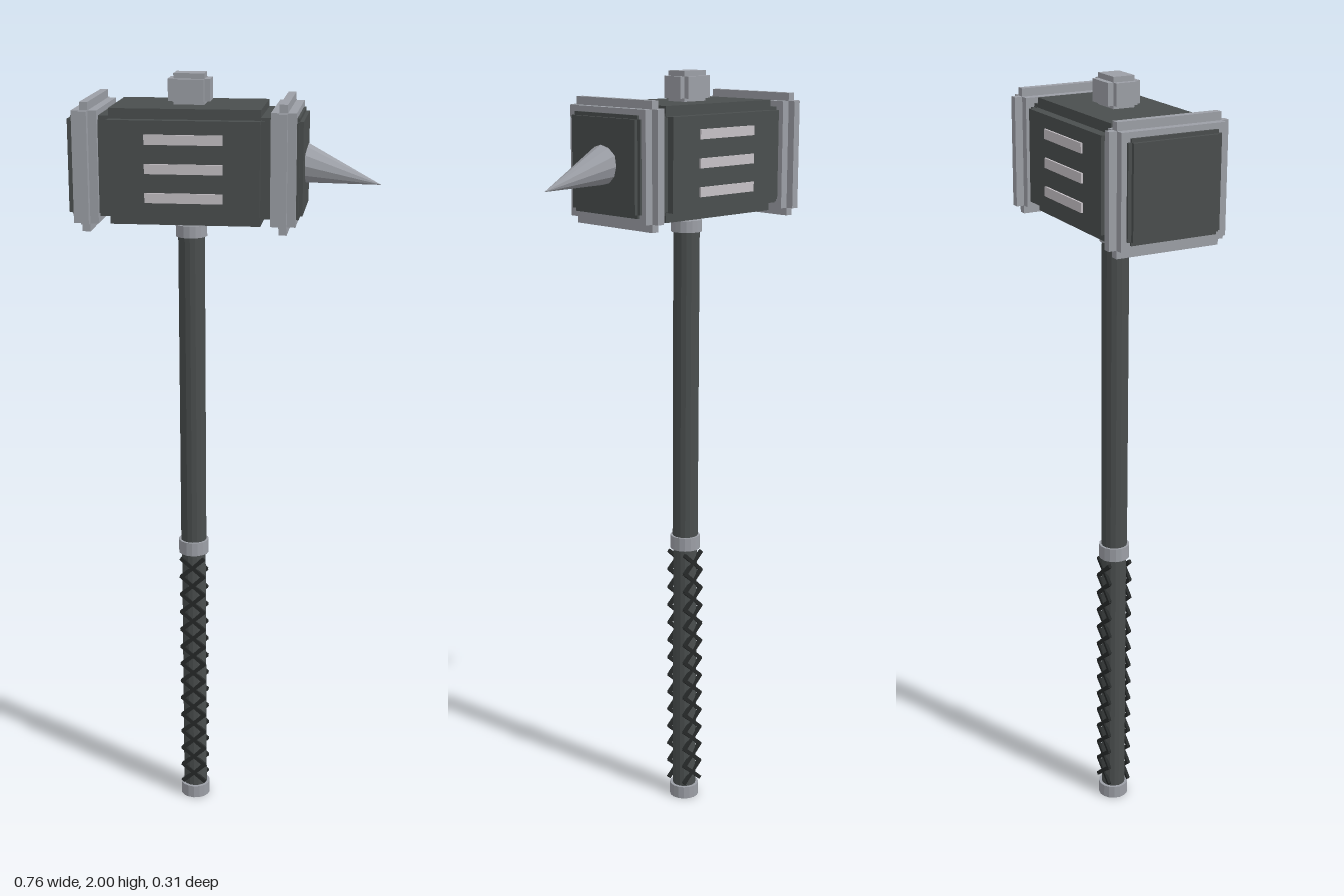
import * as THREE from 'three';

const AXIS_X = -0.095; // shaft line
const HEAD_Y = 1.785; // head centre height

export function createModel() {
  const model = new THREE.Group();
  model.name = 'warHammer';

  const mat = (name, color) => {
    const m = new THREE.MeshStandardMaterial({ color, flatShading: true });
    m.name = name;
    return m;
  };
  const iron = mat('dark iron', 0x4a4e4e);
  const steel = mat('steel', 0x9c9fa6);
  const inlay = mat('pale inlay', 0xc6c1c6);
  const leather = mat('black leather', 0x262929);

  const add = (parent, name, geometry, material, x = 0, y = 0, z = 0) => {
    const mesh = new THREE.Mesh(geometry, material);
    mesh.name = name;
    mesh.position.set(x, y, z);
    parent.add(mesh);
    return mesh;
  };

  // Block with notched edges: three crossing boxes, each longer along one axis
  const notchedBlock = (name, x, y, inner, outer, material) => {
    const group = new THREE.Group();
    group.name = name;
    group.position.set(x, y, 0);
    for (let axis = 0; axis < 3; axis++) {
      const size = inner.map((v, i) => 2 * (i === axis ? outer[i] : v));
      add(group, name + 'Layer', new THREE.BoxGeometry(...size), material);
    }
    model.add(group);
  };

  // Head: striking core, thick middle, steel rims and top knob
  notchedBlock('headCore', AXIS_X, HEAD_Y, [0.278, 0.113, 0.113], [0.287, 0.122, 0.122], iron);
  notchedBlock('headBody', AXIS_X, HEAD_Y, [0.185, 0.115, 0.115], [0.208, 0.14, 0.14], iron);
  for (const side of [-1, 1]) {
    notchedBlock('headRim', AXIS_X + side * 0.241, HEAD_Y, [0.01, 0.136, 0.136], [0.031, 0.156, 0.156], steel);
  }
  notchedBlock('topKnob', AXIS_X, 1.96, [0.038, 0.027, 0.028], [0.052, 0.04, 0.043], steel);

  // Three inlaid bars on the front and back
  for (const side of [-1, 1]) {
    for (const row of [-1, 0, 1]) {
      add(model, 'inlayBar', new THREE.BoxGeometry(0.19, 0.024, 0.008), inlay,
        AXIS_X, HEAD_Y + row * 0.07, side * 0.141);
    }
  }

  // Spike, drooping slightly from the head's left face
  const spikeGeometry = new THREE.ConeGeometry(0.05, 0.2, 12, 1);
  spikeGeometry.translate(0, 0.1, 0);
  const spike = add(model, 'spike', spikeGeometry, steel, 0.185, HEAD_Y, 0);
  spike.rotation.z = -Math.PI / 2 - 0.26;

  // Shaft and its collars
  const cylinder = (name, radius, bottom, top, material) =>
    add(model, name, new THREE.CylinderGeometry(radius, radius, top - bottom, 16), material,
      AXIS_X, (bottom + top) / 2, 0);
  cylinder('shaft', 0.034, 0.74, 1.61, iron);
  cylinder('grip', 0.032, 0.02, 0.75, iron);
  cylinder('pommel', 0.04, 0, 0.035, steel);
  cylinder('gripCollar', 0.04, 0.737, 0.774, steel);
  cylinder('topCollar', 0.04, 1.597, 1.627, steel);

  // Crossed leather strips over the front and back of the grip
  const strip = new THREE.BoxGeometry(0.084, 0.01, 0.008);
  for (let i = 0; i < 13; i++) {
    for (const face of [-1, 1]) {
      for (const lean of [-1, 1]) {
        const mesh = add(model, 'gripStrip', strip, leather, AXIS_X, 0.075 + i * 0.052, face * 0.03);
        mesh.rotation.z = lean * 0.72;
      }
    }
  }

  return model;
}
